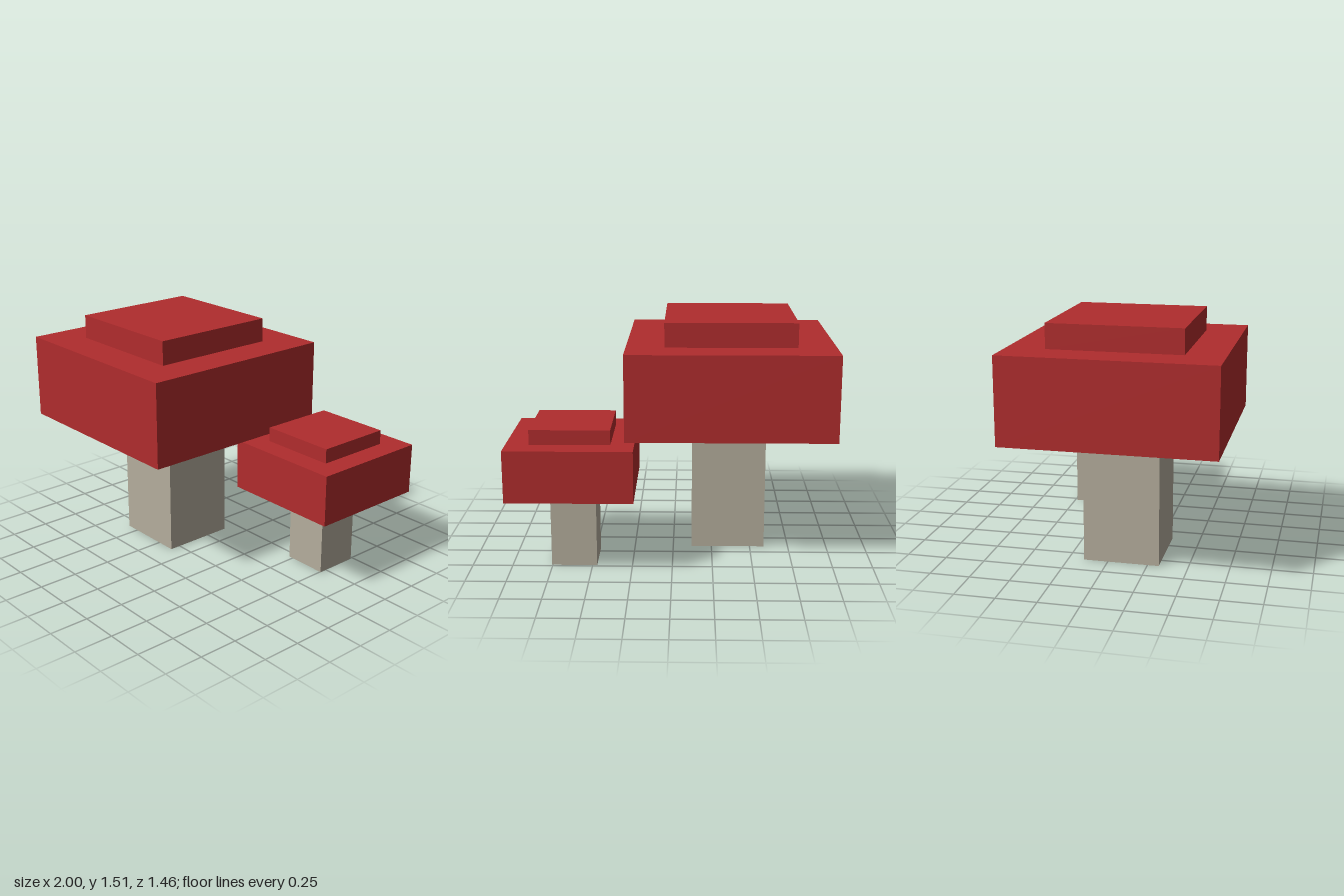
import * as THREE from 'three';

const capRed = new THREE.MeshStandardMaterial({ color: 0xb02c2d, side: THREE.DoubleSide });
capRed.name = 'capRed';
const stemBeige = new THREE.MeshStandardMaterial({ color: 0xb4ad9c, side: THREE.DoubleSide });
stemBeige.name = 'stemBeige';

// Hollow box standing on y = 0, open below and optionally open above
function shell(width, height, closedTop) {
  const g = new THREE.BoxGeometry(width, height, width).translate(0, height / 2, 0);
  const index = Array.from(g.index.array);
  // box sides come in the order +x, -x, +y, -y, +z, -z, six indices each
  const kept = closedTop ? [0, 1, 2, 4, 5] : [0, 1, 4, 5];
  g.setIndex(kept.flatMap((f) => index.slice(f * 6, f * 6 + 6)));
  g.clearGroups();
  return g;
}

function squarePoints(width) {
  const h = width / 2;
  return [[-h, -h], [h, -h], [h, h], [-h, h]].map(([x, y]) => new THREE.Vector2(x, y));
}

// Flat square ring facing up
function squareRing(outer, inner) {
  const shape = new THREE.Shape(squarePoints(outer));
  shape.holes.push(new THREE.Path(squarePoints(inner).reverse()));
  return new THREE.ShapeGeometry(shape).rotateX(-Math.PI / 2);
}

function mushroom(name) {
  const group = new THREE.Group();
  group.name = name;
  const add = (part, geometry, material, y) => {
    const mesh = new THREE.Mesh(geometry, material);
    mesh.name = part;
    mesh.position.y = y;
    group.add(mesh);
  };
  add('stem', shell(0.472, 0.82, false), stemBeige, 0);
  add('capSides', shell(1.288, 0.535, false), capRed, 0.82);
  add('capTop', squareRing(1.288, 0.815), capRed, 1.355);
  add('capCrown', shell(0.815, 0.152, true), capRed, 1.355);
  return group;
}

export function createModel() {
  const model = new THREE.Group();
  model.name = 'mushrooms';

  const large = mushroom('largeMushroom');
  large.position.set(-0.356, 0, 0.085);

  const small = mushroom('smallMushroom');
  small.scale.setScalar(0.6);
  small.position.set(0.613, 0, -0.343);

  model.add(large, small);
  return model;
}
